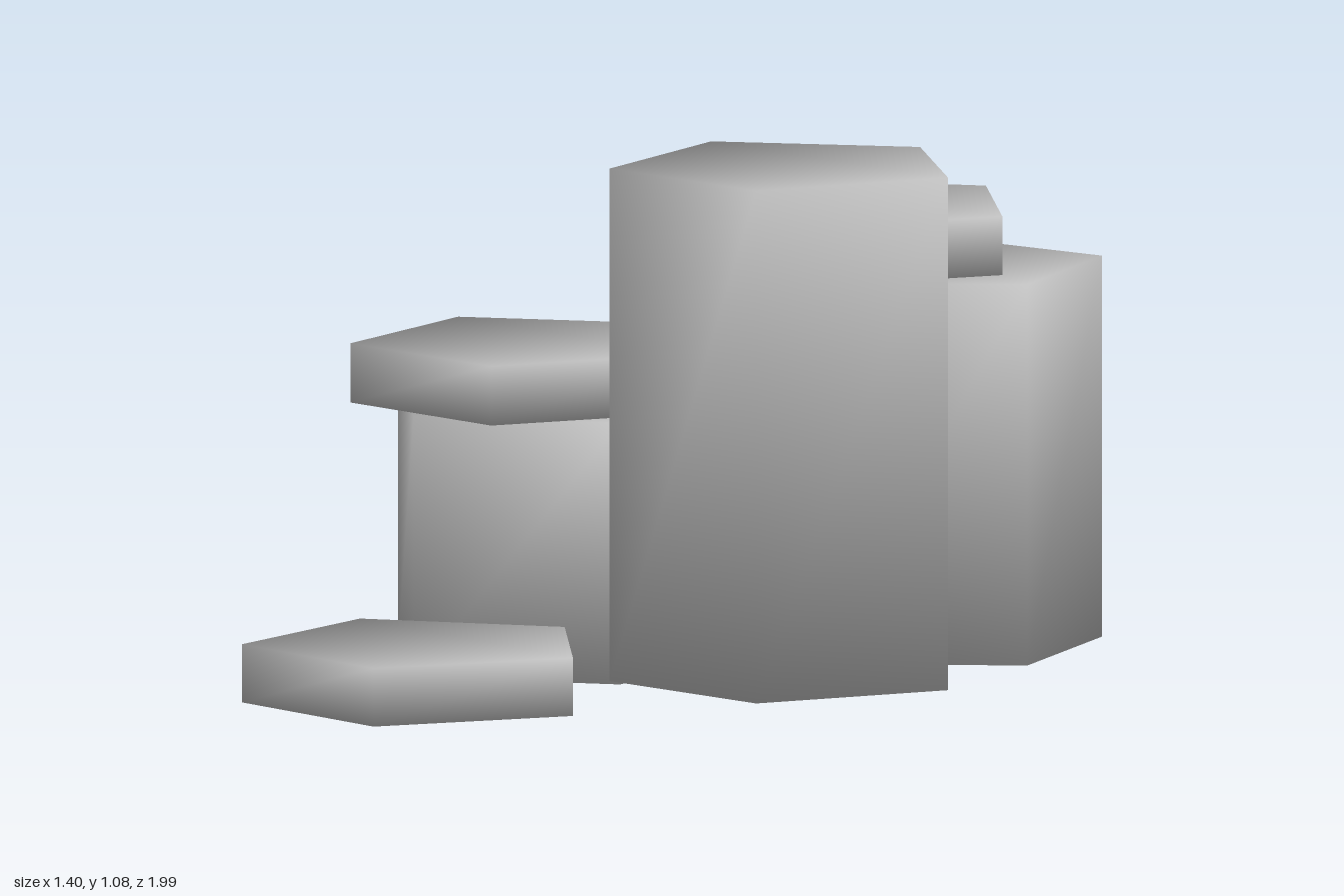
import * as THREE from 'three';

const SIDES = 5;
const RADIUS = 0.363;

// Five-sided prism with normals blended over the rim, so it shades softly.
function pentagonPrism(height, turn) {
  const positions = [], normals = [], index = [];
  const radial = 2 * Math.cos(Math.PI / SIDES);
  for (const level of [0, 1]) {
    for (let i = 0; i < SIDES; i++) {
      const a = THREE.MathUtils.degToRad(turn) + (i / SIDES) * Math.PI * 2;
      const c = Math.cos(a), s = Math.sin(a);
      positions.push(RADIUS * c, level * height, RADIUS * s);
      const n = new THREE.Vector3(c * radial, level ? 1.2 : -1.2, s * radial).normalize();
      normals.push(n.x, n.y, n.z);
    }
  }
  // Side walls
  for (let i = 0; i < SIDES; i++) {
    const j = (i + 1) % SIDES;
    index.push(j, i, i + SIDES, j, i + SIDES, j + SIDES);
  }
  // Bottom and top faces
  for (let k = 1; k < SIDES - 1; k++) {
    index.push(0, k, k + 1, SIDES, SIDES + k + 1, SIDES + k);
  }
  const geometry = new THREE.BufferGeometry();
  geometry.setAttribute('position', new THREE.Float32BufferAttribute(positions, 3));
  geometry.setAttribute('normal', new THREE.Float32BufferAttribute(normals, 3));
  geometry.setIndex(index);
  return geometry;
}

export function createModel() {
  const model = new THREE.Group();
  model.name = 'pentagonColumns';

  const stone = new THREE.MeshStandardMaterial({ color: 0xc0c0c0 });
  stone.name = 'lightGrey';

  // name, centre x, centre z, bottom, top, turn in degrees
  const columns = [
    ['tallColumn', 0.338, 0.09, 0.04, 1.08, -4.1],
    ['frontSlab', -0.179, 0.647, 0.02, 0.138, 1.2],
    ['sideColumn', -0.34, -0.087, 0, 0.53, 179.3],
    ['sideColumnCap', -0.369, -0.052, 0.53, 0.65, -2.1],
    ['backColumn', 0.173, -0.686, 0, 0.773, 24],
    ['backColumnCap', 0.029, -0.615, 0.773, 0.892, -1],
  ];
  for (const [name, x, z, bottom, top, turn] of columns) {
    const mesh = new THREE.Mesh(pentagonPrism(top - bottom, turn), stone);
    mesh.name = name;
    mesh.position.set(x, bottom, z);
    model.add(mesh);
  }
  return model;
}
